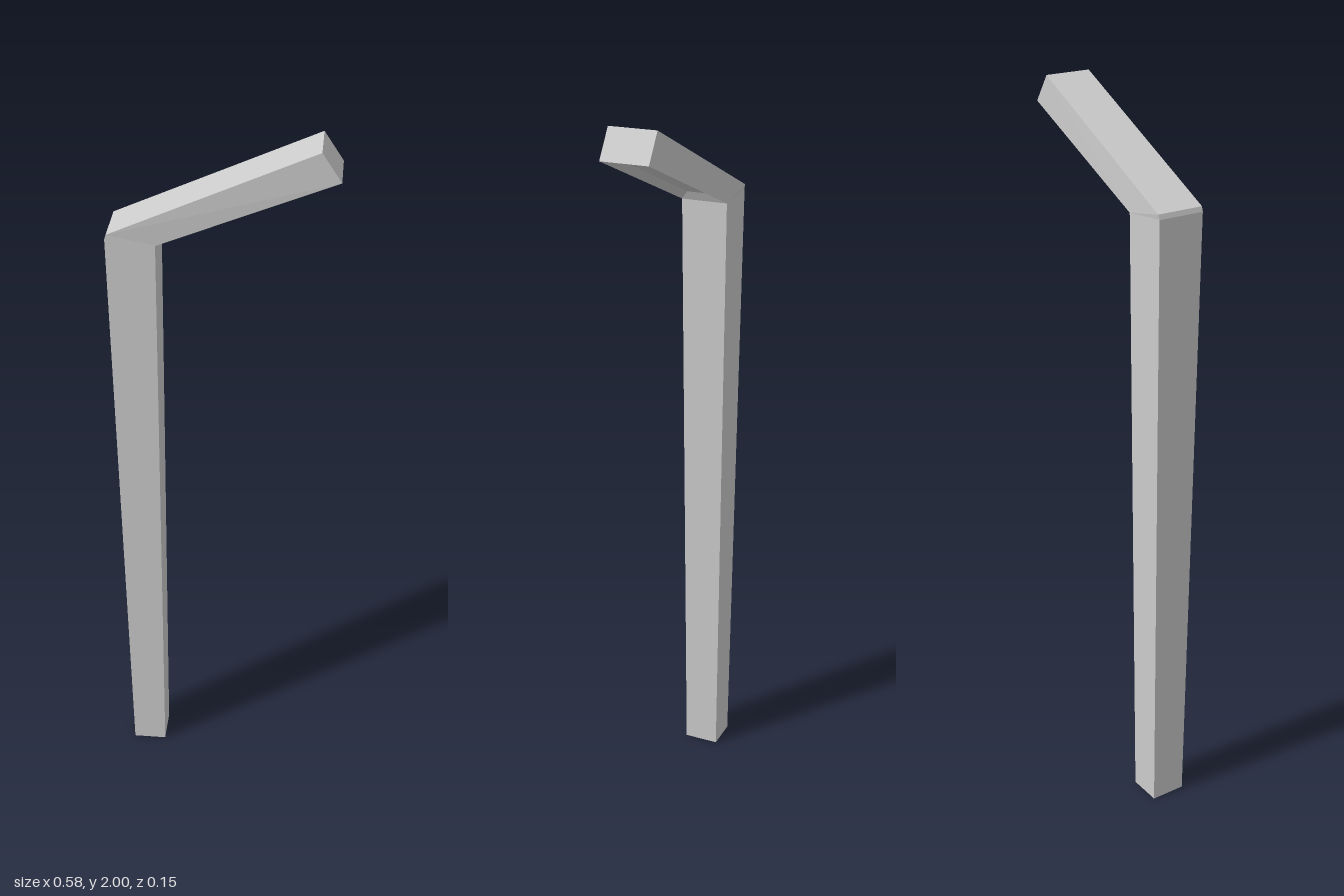
import * as THREE from 'three';

const material = new THREE.MeshStandardMaterial({ color: 0xcccccc, flatShading: true });
const v = (x, y, z) => new THREE.Vector3(x, y, z);

// Rectangular cross-section: outer back, outer front, inner front, inner back
const section = ([ox, oy], [ix, iy], back, front) =>
  [v(ox, oy, back), v(ox, oy, front), v(ix, iy, front), v(ix, iy, back)];

// Quads joining two four-cornered loops, leaving out the listed sides
function bridge(a, b, skip = []) {
  return [0, 1, 2, 3].filter((i) => !skip.includes(i)).map((i) => {
    const j = (i + 1) % 4;
    return [a[i], a[j], b[j], b[i]];
  });
}

// Flat-shaded mesh from quads; collapsed triangles are dropped
function quadMesh(name, quads) {
  const points = [];
  for (const [a, b, c, d] of quads) {
    for (const t of [[a, b, c], [a, c, d]]) {
      if (new THREE.Triangle(...t).getArea() > 1e-8) points.push(...t);
    }
  }
  const geometry = new THREE.BufferGeometry().setFromPoints(points);
  geometry.computeVertexNormals();
  const mesh = new THREE.Mesh(geometry, material);
  mesh.name = name;
  return mesh;
}

export function createModel() {
  const model = new THREE.Group();
  model.name = 'lampPost';

  const inner = [-0.165, 1.73];
  const foot = section([-0.275, 0], [-0.18, 0], -0.055, 0.045);
  const elbow = section([-0.292, 1.742], inner, -0.073, 0.057);
  const shoulder = section([-0.288, 1.755], inner, -0.075, 0.057);
  // Keep the inner elbow edge shared by both sections
  shoulder[2].copy(elbow[2]);
  shoulder[3].copy(elbow[3]);
  const tip = section([0.24, 2], [0.29, 1.925], -0.058, 0.073);

  // Tapered post with its foot and the small bevel at the elbow
  model.add(quadMesh('post', [
    [...foot].reverse(),
    ...bridge(foot, elbow),
    ...bridge(elbow, shoulder, [2]),
  ]));

  // Slanted arm, open underneath for the lamp
  model.add(quadMesh('arm', [...bridge(shoulder, tip, [2]), tip]));

  // Lamp recess: sloping walls and a floor set into the arm's underside
  const rim = [shoulder[2], shoulder[3], tip[3], tip[2]];
  const along = tip[2].clone().sub(shoulder[2]).normalize();
  const across = v(0, 0, 1);
  const up = across.clone().cross(along).normalize();
  const floor = rim.map((p, i) => p.clone()
    .addScaledVector(along, i < 2 ? 0.02 : -0.02)
    .addScaledVector(across, i === 1 || i === 2 ? 0.02 : -0.02)
    .addScaledVector(up, 0.018));
  model.add(quadMesh('lampRecess', [...bridge(rim, floor), floor]));

  return model;
}
